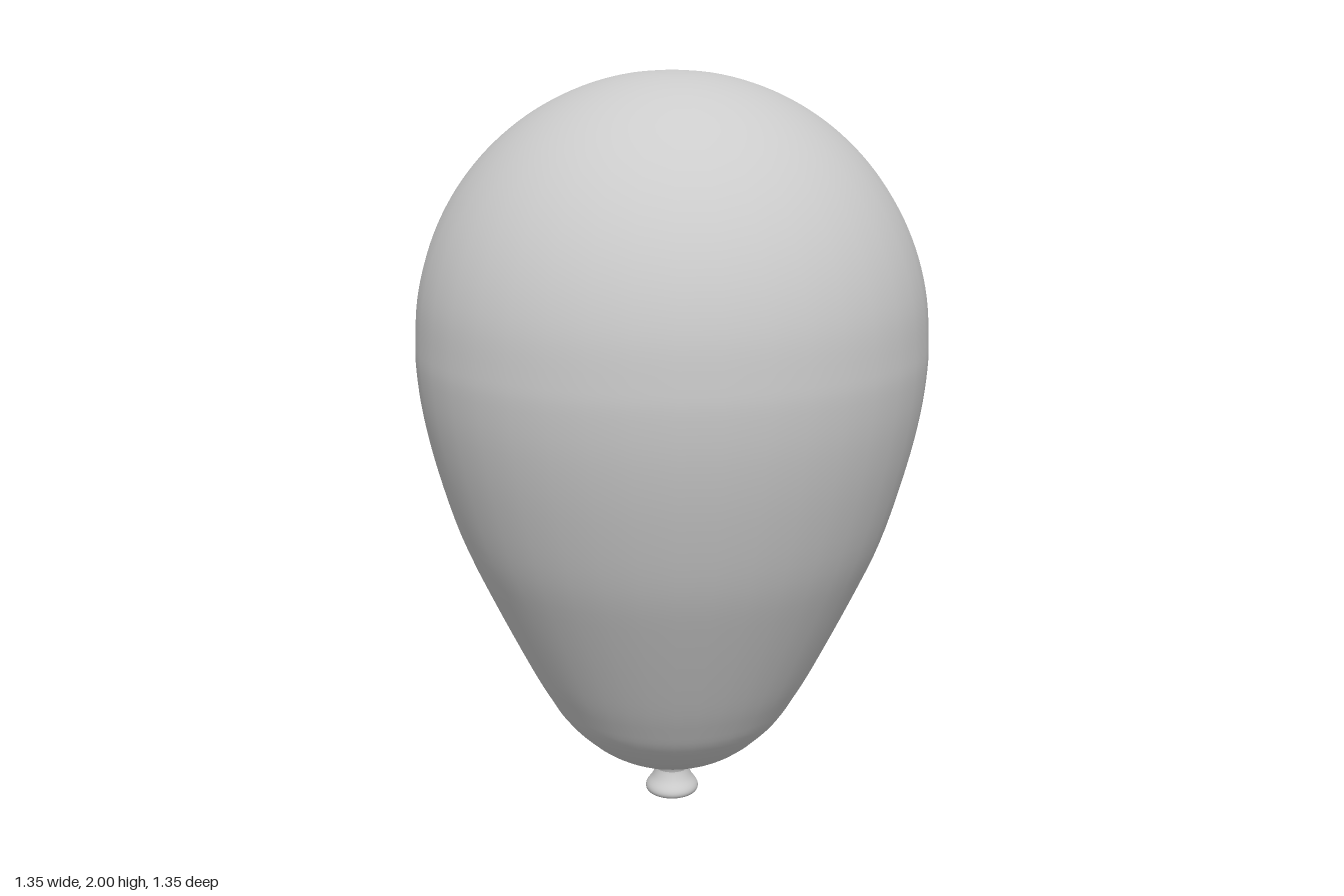
import * as THREE from 'three';

const SEGMENTS = 40;

// Smooth surface of revolution through a few [radius, height] points
function turned(name, points, samples, material) {
  const curve = new THREE.SplineCurve(points.map(([r, y]) => new THREE.Vector2(r, y)));
  const profile = curve.getPoints(samples);
  profile.forEach((p) => { p.x = Math.max(p.x, 0); });
  const mesh = new THREE.Mesh(new THREE.LatheGeometry(profile, SEGMENTS), material);
  mesh.name = name;
  return mesh;
}

export function createModel() {
  const model = new THREE.Group();
  model.name = 'balloon';
  const rubber = new THREE.MeshStandardMaterial({ color: 0xcccccc, side: THREE.DoubleSide });

  // Tapered lower half, then an elliptical dome
  const bodyPoints = [
    [0.045, 0.075], [0.065, 0.105], [0.16, 0.14], [0.23, 0.185], [0.3, 0.255],
    [0.345, 0.325], [0.4, 0.425], [0.5, 0.63], [0.57, 0.79], [0.625, 0.97],
    [0.658, 1.12], [0.672, 1.24],
  ];
  const domeSteps = 10;
  for (let i = 0; i <= domeSteps; i++) {
    const a = (i / domeSteps) * Math.PI / 2;
    bodyPoints.push([0.672 * Math.cos(a), 1.32 + 0.68 * Math.sin(a)]);
  }
  model.add(turned('body', bodyPoints, 88, rubber));

  // Flared mouth below the neck, with a rolled lip and closed base
  const mouthPoints = [
    [0, 0], [0.04, 0.003], [0.064, 0.008], [0.073, 0.018], [0.071, 0.032],
    [0.057, 0.052], [0.049, 0.07], [0.046, 0.085], [0.05, 0.1],
  ];
  model.add(turned('mouth', mouthPoints, 32, rubber));

  return model;
}
